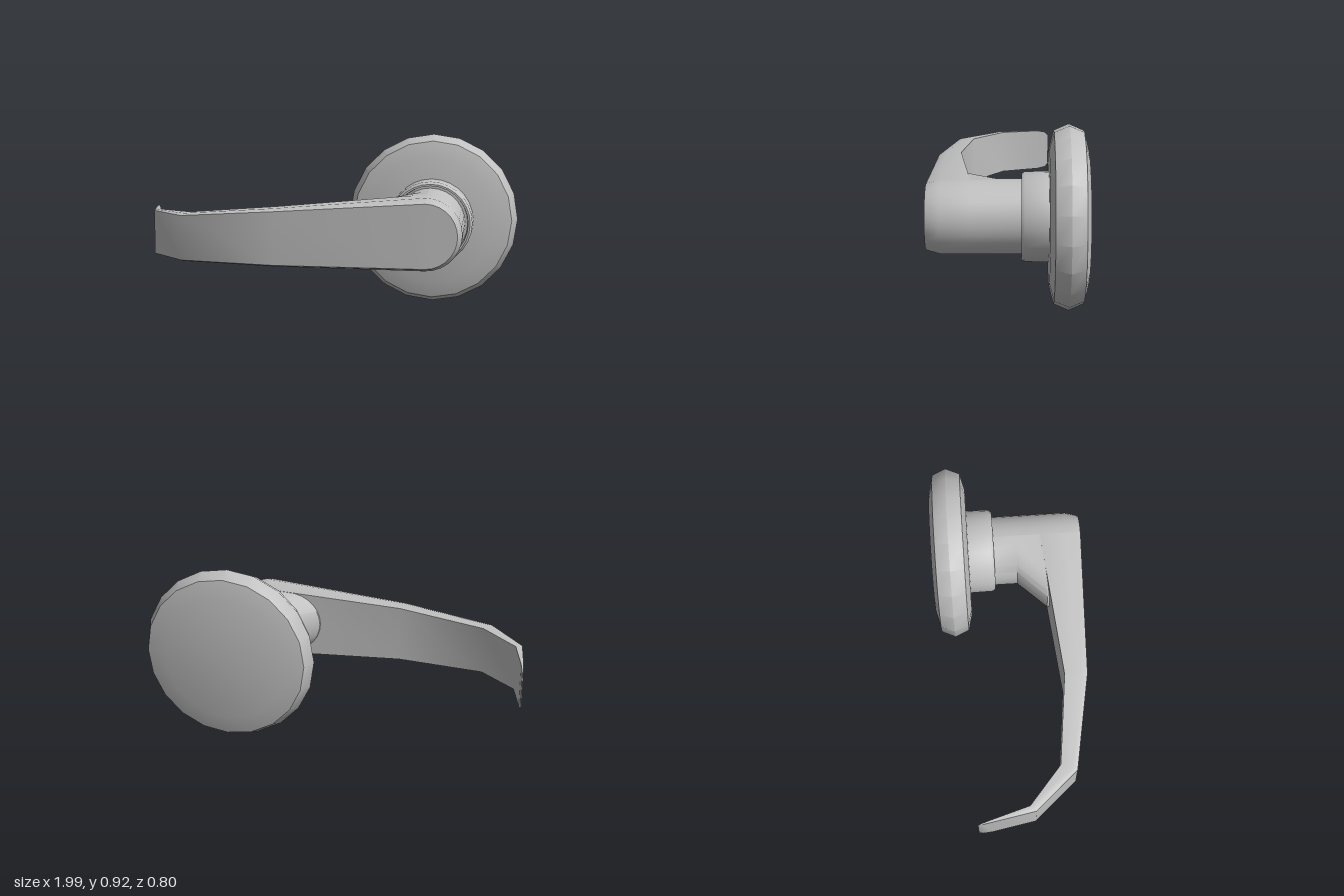
import * as THREE from 'three';
import { mergeGeometries, toCreasedNormals } from 'three/addons/utils/BufferGeometryUtils.js';

const CY = 0.462;      // height of the spindle axis
const NECK_X = 0.524;  // neck centre
const NECK_R = 0.187;

// Lathe about the z axis; the profile is [radius, z] from back to front
function turned(profile, segments, x, start = 0, length = Math.PI * 2) {
  const pts = profile.map(([r, z]) => new THREE.Vector2(r, z));
  const g = new THREE.LatheGeometry(pts, segments, start, length);
  g.rotateX(Math.PI / 2);
  g.translate(x, CY, 0);
  return g;
}

// Bare position-only triangles, ready for merging
function bare(g) {
  const out = g.index ? g.toNonIndexed() : g;
  out.deleteAttribute('uv');
  out.deleteAttribute('normal');
  return out;
}

// Lever arm lofted through stations: front x,z, back x,z, top y, bottom y
function leverArm() {
  const stations = [
    [NECK_X, 0.40, NECK_X, 0.18, CY + NECK_R, CY - NECK_R],
    [-0.25, 0.375, -0.25, 0.255, 0.584, 0.284],
    [-0.75, 0.285, -0.72, 0.20, 0.541, 0.288],
    [-0.95, 0.06, -0.92, 0.03, 0.530, 0.288],
    [-0.992, -0.17, -0.981, -0.18, 0.525, 0.290],
    [-0.998, -0.215, -0.992, -0.222, 0.515, 0.298],
    [-1.0, -0.232, -0.996, -0.24, 0.495, 0.318],
  ];
  // Fraction from back to front, and inset of the edge there
  const half = [[0, 0], [0.68, 0], [0.93, 0.015], [1, 0.022]];
  const rings = stations.map(([fx, fz, bx, bz, top, bottom]) => {
    const s = Math.min(1, Math.hypot(fx - bx, fz - bz) / 0.22);
    const at = (t, y) => [bx + (fx - bx) * t, y, bz + (fz - bz) * t];
    return [
      ...half.map(([t, inset]) => at(t, top - inset * s)),
      ...[...half].reverse().map(([t, inset]) => at(t, bottom + inset * s)),
    ];
  });
  const pos = [];
  const tri = (...corners) => corners.forEach((p) => pos.push(...p));
  for (let i = 0; i < rings.length - 1; i++) {
    for (let j = 0; j < 8; j++) {
      const k = (j + 1) % 8;
      const a = rings[i][j], b = rings[i][k], c = rings[i + 1][k], d = rings[i + 1][j];
      tri(a, d, b);
      tri(b, d, c);
    }
  }
  const tip = rings[rings.length - 1];
  for (let j = 1; j < 7; j++) tri(tip[0], tip[j + 1], tip[j]);
  const g = new THREE.BufferGeometry();
  g.setAttribute('position', new THREE.Float32BufferAttribute(pos, 3));
  return g;
}

// Neck half on the lever side, its round end sliding out along the arm
function neckFlare() {
  const g = turned([[NECK_R, -0.12], [NECK_R, 0.05], [NECK_R, 0.2], [NECK_R, 0.24]],
    14, 0, Math.PI, Math.PI);
  const p = g.attributes.position;
  for (let i = 0; i < p.count; i++) {
    if (p.getX(i) > -0.001) continue;
    const t = THREE.MathUtils.clamp((p.getZ(i) - 0.05) / 0.15, 0, 1);
    p.setX(i, p.getX(i) - 0.147 * t);
    p.setY(i, CY + (p.getY(i) - CY) * (1 - 0.07 * t));
  }
  g.translate(NECK_X, 0, 0);
  return g;
}

export function createModel() {
  const group = new THREE.Group();
  const metal = new THREE.MeshStandardMaterial({ color: 0xc0c0c0 });
  metal.name = 'satin metal';

  const add = (name, geometry, crease) => {
    const mesh = new THREE.Mesh(toCreasedNormals(geometry, crease), metal);
    mesh.name = name;
    group.add(mesh);
  };

  // Faceted round plate against the door
  add('rose', bare(turned([
    [0, -0.402], [0.33, -0.402], [0.43, -0.378], [0.462, -0.305],
    [0.43, -0.23], [0.34, -0.207], [0, -0.205],
  ], 20, 0.53)), 0.85);

  // Raised collar with a small recess around the neck
  add('collar', bare(turned([
    [0.226, -0.21], [0.224, -0.088], [0.212, -0.071],
    [0.202, -0.071], [0.198, -0.11], [0.18, -0.11],
  ], 28, 0.527)), 0.85);

  // Neck and lever arm as one smooth piece
  const neckOuter = turned([
    [NECK_R, -0.12], [NECK_R, 0.18], [NECK_R, 0.33],
    [NECK_R - 0.015, 0.385], [NECK_R - 0.022, 0.40], [0, 0.40],
  ], 14, NECK_X, 0, Math.PI);
  add('lever', mergeGeometries([leverArm(), neckFlare(), neckOuter].map(bare)), 0.7);

  return group;
}
